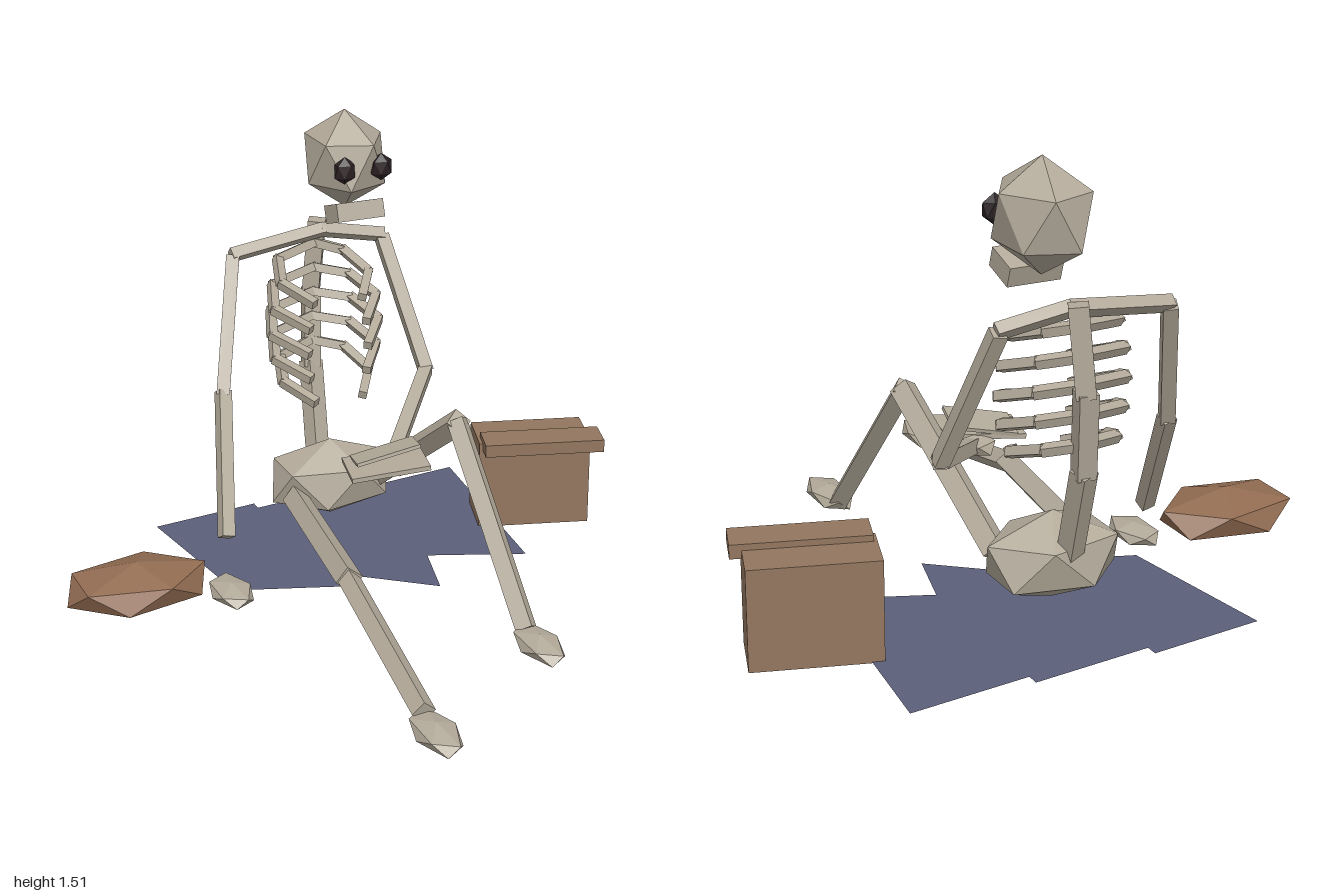
import * as THREE from 'three';

const flat = (name, color, extra = {}) => {
  const m = new THREE.MeshStandardMaterial({ color, flatShading: true, ...extra });
  m.name = name;
  return m;
};

export function createModel() {
  const root = new THREE.Group();
  root.name = 'restingSkeleton';
  const bone = flat('bone', 0xb3aa9a);
  const socket = flat('eyeSocket', 0x2b2123);
  const wood = flat('wood', 0x92765f);
  const leather = flat('leather', 0x926c52);
  const cloth = flat('cloth', 0x5b5f79, { side: THREE.DoubleSide });

  const add = (name, geo, mat, parent = root) => {
    const m = new THREE.Mesh(geo, mat);
    m.name = name;
    parent.add(m);
    return m;
  };

  // Faceted lump: a twenty-sided solid standing on a corner, stretched to size
  const lump = (name, mat, [x, y, z], [rx, ry, rz]) => {
    const g = new THREE.IcosahedronGeometry(1, 0);
    g.rotateZ(-Math.atan(2 / (1 + Math.sqrt(5))));
    g.scale(rx, ry, rz);
    const m = add(name, g, mat);
    m.position.set(x, y, z);
    return m;
  };

  const box = (name, mat, size, pos, rot = [0, 0, 0], order = 'YXZ') => {
    const m = add(name, new THREE.BoxGeometry(...size), mat);
    m.position.set(...pos);
    m.rotation.set(rot[0], rot[1], rot[2], order);
    return m;
  };

  // Chain of four-sided bones through the given points
  const up = new THREE.Vector3(0, 1, 0);
  const chain = (name, points, radii) => {
    const group = new THREE.Group();
    group.name = name;
    root.add(group);
    const p = points.map((a) => new THREE.Vector3(...a));
    for (let i = 0; i < p.length - 1; i++) {
      const d = p[i + 1].clone().sub(p[i]);
      const r = Array.isArray(radii) ? radii[i] : radii;
      const m = add(name + 'Bone', new THREE.CylinderGeometry(r, r, d.length() + r * 0.4, 4), bone, group);
      m.position.copy(p[i]).add(p[i + 1]).multiplyScalar(0.5);
      m.quaternion.setFromUnitVectors(up, d.normalize());
    }
  };

  // Skull, jaw and eye sockets
  lump('skull', bone, [0.185, 1.335, -0.785], [0.151, 0.172, 0.182]);
  box('jaw', bone, [0.172, 0.063, 0.115], [0.181, 1.171, -0.692], [-0.32, 0, 0]);
  for (const x of [0.128, 0.262]) lump('eyeSocket', socket, [x, 1.33, -0.65], [0.043, 0.048, 0.03]);

  // Spine and pelvis
  chain('spine', [[0.12, 1.085, -0.885], [0.1, 0.83, -0.9], [0.08, 0.57, -0.86], [0.05, 0.24, -0.73]], 0.042);
  lump('pelvis', bone, [0.055, 0.226, -0.635], [0.245, 0.142, 0.17]);

  // Five pairs of ribs, sloping down to open ends at the front
  [0.17, 0.2, 0.21, 0.2, 0.17].forEach((w, i) => {
    const y = 1.02 - i * 0.09;
    for (const s of [-1, 1]) {
      chain('rib', [
        [0.1 - i * 0.005, y, -0.86],
        [0.06 + s * w * 0.72, y - 0.02, -0.8],
        [0.06 + s * w * 0.95, y - 0.065, -0.67],
        [0.06 + s * w * 0.52, y - 0.11, -0.555],
      ], 0.021);
    }
  });

  // Collar bones and arms
  chain('rightCollar', [[0.12, 1.07, -0.84], [-0.22, 1.03, -0.82]], 0.028);
  chain('leftCollar', [[0.12, 1.07, -0.84], [0.34, 1.03, -0.82]], 0.028);
  chain('rightArm', [[-0.22, 1.02, -0.82], [-0.33, 0.6, -0.65], [-0.43, 0.2, -0.38]], 0.032);
  chain('leftArm', [[0.34, 1.02, -0.82], [0.415, 0.58, -0.61], [0.13, 0.45, -0.25]], 0.032);
  lump('rightHand', bone, [-0.46, 0.05, -0.265], [0.075, 0.032, 0.128]);
  lump('leftHand', bone, [0.11, 0.445, -0.21], [0.075, 0.035, 0.11]);

  // Legs and feet
  chain('rightLeg', [[-0.11, 0.205, -0.55], [-0.19, 0.21, 0.1], [-0.225, 0.075, 0.74]], [0.045, 0.038]);
  chain('leftLeg', [[0.21, 0.24, -0.56], [0.28, 0.605, -0.075], [0.305, 0.065, 0.385]], [0.045, 0.04]);
  lump('rightFoot', bone, [-0.225, 0.05, 0.83], [0.072, 0.035, 0.15]);
  lump('leftFoot', bone, [0.305, 0.05, 0.48], [0.072, 0.035, 0.15]);

  // Loose sheets held in the left hand
  box('lowerSheet', bone, [0.265, 0.016, 0.18], [0.055, 0.467, -0.15], [0, -0.21, 0.09]);
  box('upperSheet', bone, [0.22, 0.012, 0.13], [0.065, 0.498, -0.18], [-0.18, -0.21, 0.22]);

  // Chest with its lid pushed forward
  box('chestBody', wood, [0.4, 0.325, 0.2], [0.78, 0.1625, -0.4975], [0, -0.3, 0]);
  box('chestLid', wood, [0.425, 0.045, 0.126], [0.7725, 0.3225, -0.3925], [0, -0.3, 0]);

  // Collapsed sack
  lump('sack', leather, [-0.76, 0.1, -0.35], [0.268, 0.082, 0.178]);

  // Ragged cloth on the ground
  const outline = [
    [-0.5, -0.93], [-0.11, -0.97], [-0.11, -0.93], [0.29, -0.97], [0.29, -0.93], [0.69, -0.97],
    [0.61, -0.19], [0.29, -0.32], [0.23, -0.09], [-0.04, -0.31], [-0.06, -0.22], [-0.42, -0.35],
  ];
  const shape = new THREE.Shape(outline.map(([x, z]) => new THREE.Vector2(x, -z)));
  const sheet = new THREE.ShapeGeometry(shape);
  sheet.rotateX(-Math.PI / 2);
  add('groundCloth', sheet, cloth).position.y = 0.004;

  return root;
}
